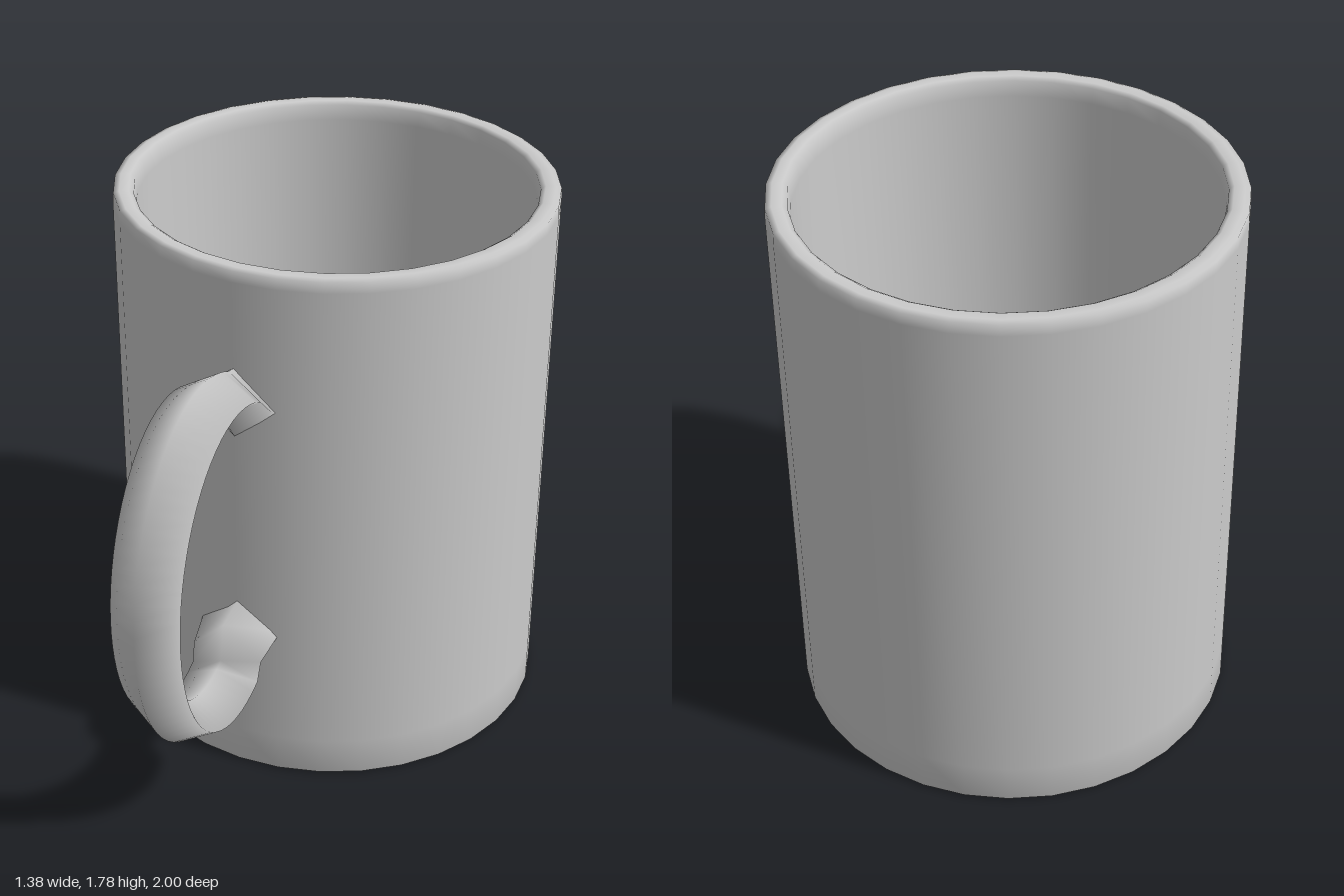
import * as THREE from 'three';

const material = new THREE.MeshStandardMaterial({ color: 0xcccccc });

// Cup: closed profile from the base, up the outside, over the rim, down to the floor
function createCup() {
  const profile = [
    [0, 0], [0.665, 0], [0.69, 0.005], [0.69, 0.13], [0.69, 1.74], [0.688, 1.775],
    [0.67, 1.78], [0.64, 1.78], [0.625, 1.77], [0.62, 1.72], [0.61, 0.14], [0.59, 0.1], [0, 0.1],
  ].map(([r, y]) => new THREE.Vector2(r, y));
  const cup = new THREE.Mesh(new THREE.LatheGeometry(profile, 32), material);
  cup.name = 'cup';
  cup.position.z = -0.31;
  return cup;
}

// Handle: diamond sections swept round a leaning oval, flared where they meet the cup
function createHandle() {
  const oval = (a, rz, ry) => [0.58 - 0.03 * Math.sin(a) + rz * Math.cos(a), 0.905 + ry * Math.sin(a)];
  // each station: outer [z, y], inner [z, y], half width
  const stations = [[[0.345, 1.455], [0.345, 1.19], 0.135], [[0.385, 1.462], [0.387, 1.24], 0.125]];
  const steps = 40;
  for (let i = 0; i <= steps; i++) {
    const a = THREE.MathUtils.degToRad(110 - (223 * i) / steps);
    stations.push([oval(a, 0.42, 0.597), oval(a, 0.29, 0.464), 0.115]);
  }
  stations.push([[0.43, 0.365], [0.473, 0.6], 0.118], [[0.345, 0.43], [0.345, 0.645], 0.135]);

  const positions = [];
  const index = [];
  stations.forEach(([o, n, w], i) => {
    const y = (o[1] + n[1]) / 2;
    const z = (o[0] + n[0]) / 2;
    positions.push(0, o[1], o[0], w, y, z, 0, n[1], n[0], -w, y, z);
    if (i === 0) return;
    for (let k = 0; k < 4; k++) {
      const a = (i - 1) * 4 + k;
      const b = (i - 1) * 4 + ((k + 1) % 4);
      index.push(a, a + 4, b, b, a + 4, b + 4);
    }
  });
  const geometry = new THREE.BufferGeometry();
  geometry.setAttribute('position', new THREE.Float32BufferAttribute(positions, 3));
  geometry.setIndex(index);
  geometry.computeVertexNormals();
  const handle = new THREE.Mesh(geometry, material);
  handle.name = 'handle';
  return handle;
}

export function createModel() {
  const mug = new THREE.Group();
  mug.name = 'mug';
  mug.add(createCup(), createHandle());
  return mug;
}
